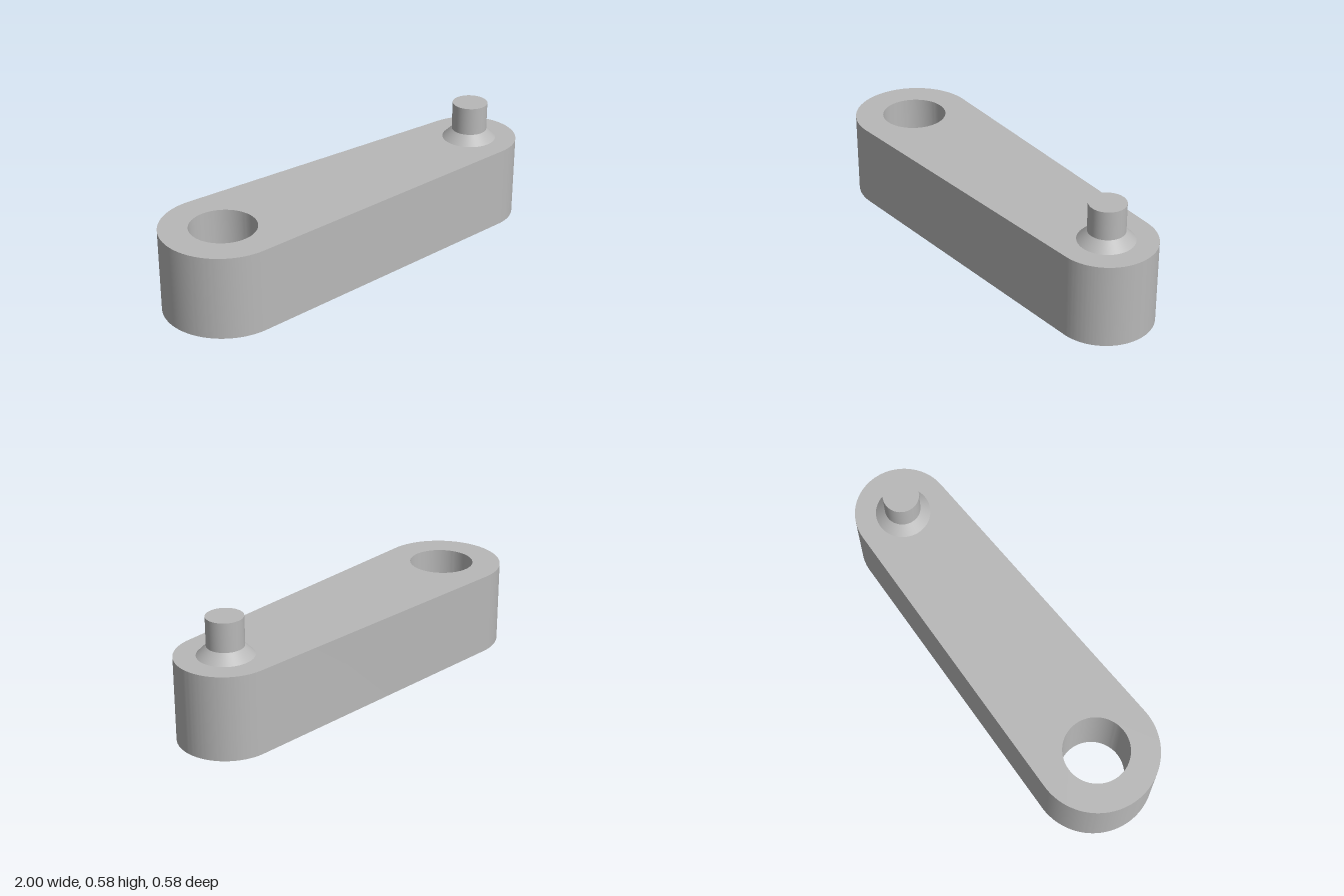
import * as THREE from 'three';
import { toCreasedNormals } from 'three/addons/utils/BufferGeometryUtils.js';

const HEIGHT = 0.4;
const BIG = { x: -0.71, r: 0.29 };   // bored end
const SMALL = { x: 0.77, r: 0.23 };  // pin end
const BORE = 0.155;

export function createModel() {
  const group = new THREE.Group();
  group.name = 'crankArm';
  const steel = new THREE.MeshStandardMaterial({ color: 0xb8b8b8 });
  steel.name = 'grey steel';

  const add = (name, geometry, x = 0, y = 0) => {
    const mesh = new THREE.Mesh(geometry, steel);
    mesh.name = name;
    mesh.position.set(x, y, 0);
    group.add(mesh);
  };

  // Tapered arm: two end arcs joined by their common tangents, with a through bore
  const a = Math.acos((BIG.r - SMALL.r) / (SMALL.x - BIG.x));
  const outline = new THREE.Shape();
  outline.absarc(BIG.x, 0, BIG.r, a, 2 * Math.PI - a, false);
  outline.absarc(SMALL.x, 0, SMALL.r, -a, a, false);
  outline.closePath();
  const bore = new THREE.Path();
  bore.absarc(BIG.x, 0, BORE, 0, 2 * Math.PI, true);
  outline.holes.push(bore);
  const arm = new THREE.ExtrudeGeometry(outline, { depth: HEIGHT, bevelEnabled: false, curveSegments: 48 });
  arm.rotateX(-Math.PI / 2);
  add('arm', toCreasedNormals(arm, 0.5));

  // Conical shoulder and the pin standing on it
  add('pinShoulder', new THREE.CylinderGeometry(0.085, 0.13, 0.045, 64, 1, true), SMALL.x, HEIGHT + 0.0225);
  add('pin', new THREE.CylinderGeometry(0.085, 0.085, 0.137, 64), SMALL.x, 0.5135);

  return group;
}
